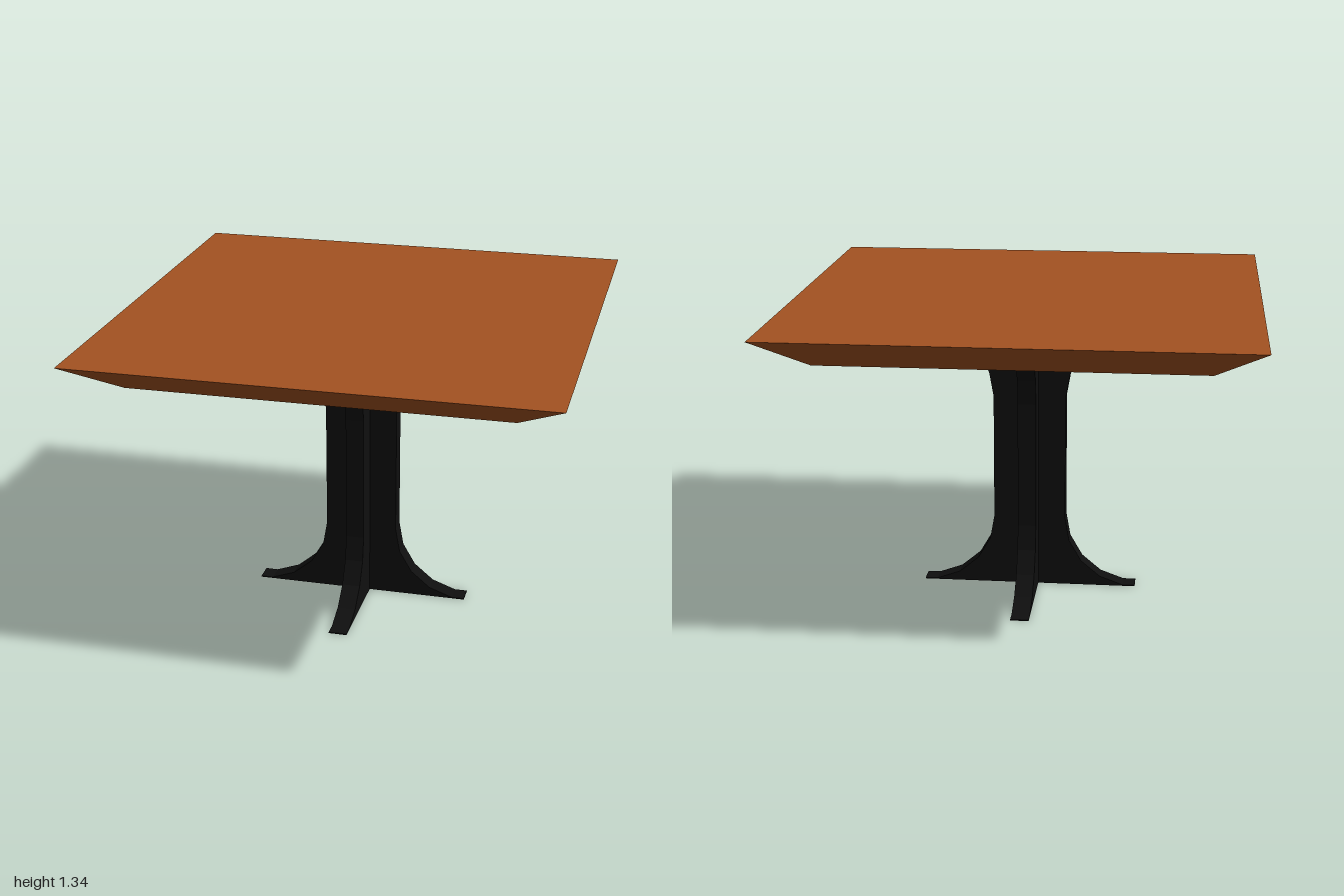
import * as THREE from 'three';

const TOP_Y = 1.34, UNDER_Y = 1.2;   // table top surface and underside
const REACH = 0.48, RADIUS = 0.32;   // arm reach and fillet radius
const THICK = 0.08, LIP = 0.005;     // plate thickness and arm tip height

// Upright plate outline: straight stem flaring in a faceted curve to both ends
function plateShape() {
  const quarter = [[REACH, 0], [REACH, LIP]];
  for (let deg = 80; deg >= 0; deg -= 20) {
    const a = THREE.MathUtils.degToRad(deg);
    quarter.push([REACH - RADIUS * Math.cos(a), RADIUS * (1 - Math.sin(a))]);
  }
  const upper = quarter.map(([x, y]) => [x, UNDER_Y - y]).reverse();
  const right = [...quarter, ...upper];
  const left = right.map(([x, y]) => [-x, y]).reverse();
  return new THREE.Shape([...right, ...left].map(([x, y]) => new THREE.Vector2(x, y)));
}

// Square slab whose sides slope inwards towards the underside
function topGeometry() {
  const h = TOP_Y - UNDER_Y;
  const geo = new THREE.BoxGeometry(2, h, 2).toNonIndexed();
  const p = geo.attributes.position;
  for (let i = 0; i < p.count; i++) {
    if (p.getY(i) < 0) p.setXYZ(i, p.getX(i) * 0.795, p.getY(i), p.getZ(i) * 0.795);
  }
  geo.translate(0, UNDER_Y + h / 2, 0);
  geo.computeVertexNormals();
  return geo;
}

export function createModel() {
  const wood = new THREE.MeshStandardMaterial({ color: 0xa35221 });
  wood.name = 'brown wood';
  const black = new THREE.MeshStandardMaterial({ color: 0x0f0f0f });
  black.name = 'black metal';

  const table = new THREE.Group();
  table.name = 'table';

  const top = new THREE.Mesh(topGeometry(), wood);
  top.name = 'tableTop';
  table.add(top);

  // Pedestal: two identical plates crossing at right angles
  const pedestal = new THREE.Group();
  pedestal.name = 'pedestal';
  const plate = new THREE.ExtrudeGeometry(plateShape(), { depth: THICK, bevelEnabled: false });
  plate.translate(0, 0, -THICK / 2);
  ['sidewaysPlate', 'lengthwisePlate'].forEach((name, i) => {
    const mesh = new THREE.Mesh(plate, black);
    mesh.name = name;
    mesh.rotation.y = i * Math.PI / 2;
    pedestal.add(mesh);
  });
  table.add(pedestal);

  return table;
}
